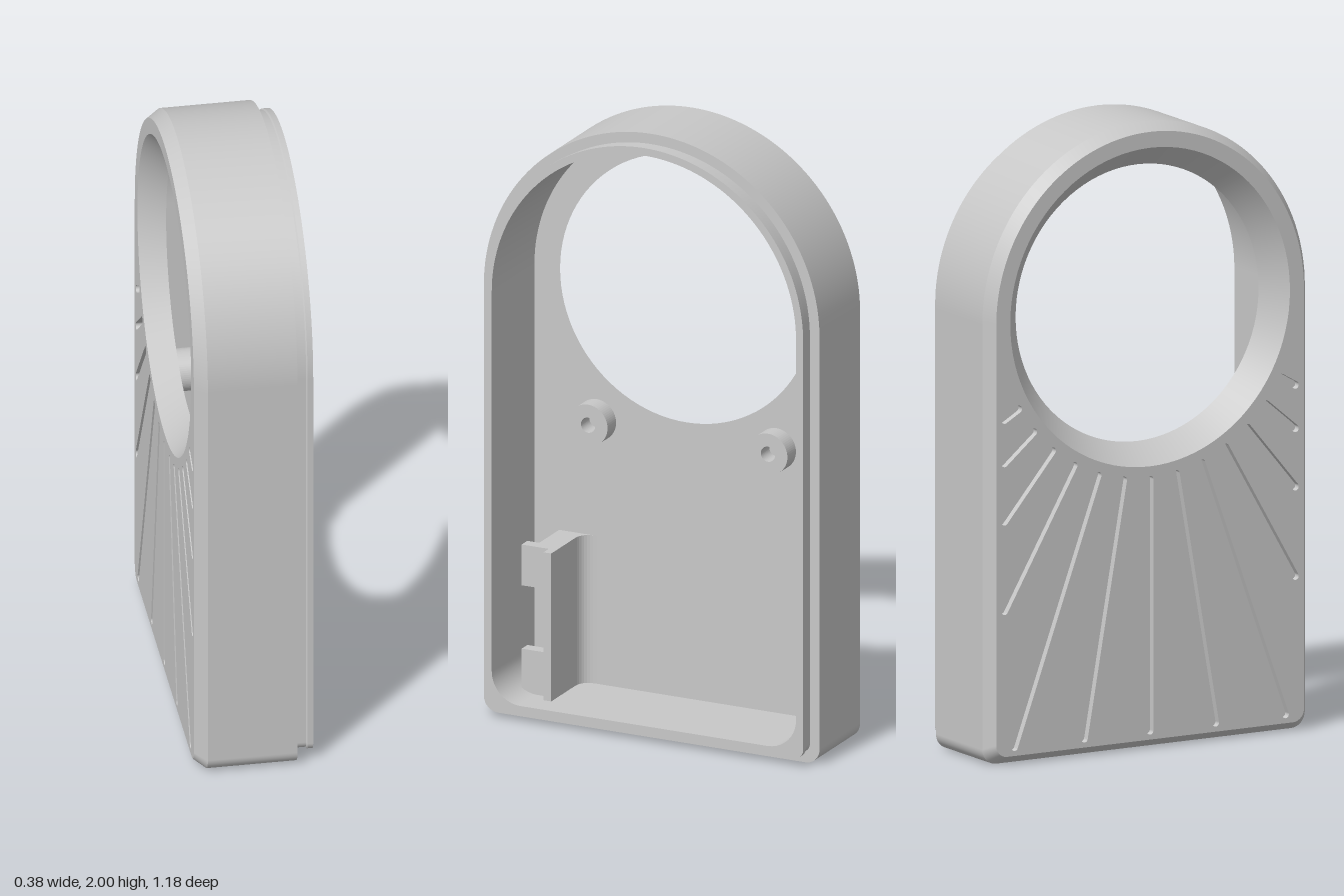
import * as THREE from 'three';

const HALF = 0.588;      // half width, also the arch radius
const ARCH_Y = 2 - HALF; // centre of the arch and of the round opening
const FACE_X = -0.19, FLOOR_X = -0.11, GROOVE = 0.022;
const FLARE_R = 0.51, BORE_R = 0.443;

// Arch outline as (z, y) points, starting at the bottom centre
function outline(inset, corner) {
  const w = HALF - inset, pts = [new THREE.Vector2(0, inset)];
  const arc = (cx, cy, r, a0, a1, n) => {
    for (let i = 0; i <= n; i++) {
      const a = a0 + (a1 - a0) * i / n;
      pts.push(new THREE.Vector2(cx + r * Math.cos(a), cy + r * Math.sin(a)));
    }
  };
  arc(w - corner, inset + corner, corner, -Math.PI / 2, 0, 10);
  arc(0, ARCH_Y, w, 0, Math.PI, 72);
  arc(-w + corner, inset + corner, corner, Math.PI, Math.PI * 1.5, 10);
  pts.push(pts[0].clone());
  return pts;
}

// Smooth band between two [x, inset, corner] sections
function band(a, b) {
  const pos = [], index = [];
  const pa = outline(a[1], a[2]), pb = outline(b[1], b[2]);
  pa.forEach((p, i) => {
    pos.push(a[0], p.y, p.x, b[0], pb[i].y, pb[i].x);
    if (i < pa.length - 1) {
      const k = i * 2;
      index.push(k, k + 1, k + 2, k + 2, k + 1, k + 3);
    }
  });
  const geo = new THREE.BufferGeometry();
  geo.setAttribute('position', new THREE.Float32BufferAttribute(pos, 3));
  geo.setIndex(index);
  geo.computeVertexNormals();
  return geo;
}

function archShape(inset, corner, holeR) {
  const shape = new THREE.Shape(outline(inset, corner).slice(0, -1));
  shape.holes.push(new THREE.Path().absarc(0, ARCH_Y, holeR, 0, Math.PI * 2, true));
  return shape;
}

// Round-ended radial slot at an angle from straight down
function slot(angle) {
  const s = Math.sin(angle), c = Math.cos(angle), r = 0.012;
  const r0 = 0.553;
  const r1 = Math.min((ARCH_Y - 0.055) / c, 0.53 / Math.max(Math.abs(s), 1e-6));
  const path = new THREE.Path();
  const dir = Math.atan2(-c, s);
  path.absarc(s * r1, ARCH_Y - c * r1, r, dir - Math.PI / 2, dir + Math.PI / 2, false);
  path.absarc(s * r0, ARCH_Y - c * r0, r, dir + Math.PI / 2, dir + Math.PI * 1.5, false);
  path.closePath();
  return path;
}

export function createModel() {
  const group = new THREE.Group();
  const grey = new THREE.MeshStandardMaterial({ color: 0xc8c8c8, side: THREE.DoubleSide });
  grey.name = 'plain grey';
  const add = (name, geo, parent = group) => {
    const mesh = new THREE.Mesh(geo, grey);
    mesh.name = name;
    parent.add(mesh);
    return mesh;
  };

  // Shell: chamfer, outer wall, stepped lip with bead, rim, inner wall
  const shell = new THREE.Group();
  shell.name = 'shell';
  group.add(shell);
  const sections = [
    [FACE_X, 0.027, 0.04], [-0.15, 0, 0.05], [0.135, 0, 0.05],
    [0.135, 0.034, 0.03], [0.168, 0.034, 0.03], [0.172, 0.03, 0.03],
    [0.19, 0.03, 0.03], [0.19, 0.055, 0.1], [FLOOR_X, 0.055, 0.1],
  ];
  for (let i = 0; i < sections.length - 1; i++)
    add('shellBand' + i, band(sections[i], sections[i + 1]), shell);

  // Face plate with a fan of grooves below the opening
  const face = archShape(0.027, 0.04, FLARE_R);
  for (let d = -60; d <= 60; d += 10) face.holes.push(slot(THREE.MathUtils.degToRad(d)));
  const faceGeo = new THREE.ExtrudeGeometry(face, { depth: GROOVE, bevelEnabled: false, curveSegments: 48 });
  add('groovedFace', faceGeo.rotateY(-Math.PI / 2).translate(FACE_X + GROOVE, 0, 0));
  const bedGeo = new THREE.ShapeGeometry(archShape(0.027, 0.04, FLARE_R), 48);
  add('grooveBed', bedGeo.rotateY(-Math.PI / 2).translate(FACE_X + GROOVE, 0, 0));

  // Inner floor
  const floorGeo = new THREE.ShapeGeometry(archShape(0.055, 0.1, BORE_R), 48);
  add('innerFloor', floorGeo.rotateY(Math.PI / 2).translate(FLOOR_X, 0, 0));

  // Conical wall of the round opening, with faces and normals towards the axis
  const flare = new THREE.CylinderGeometry(BORE_R, FLARE_R, FLOOR_X - FACE_X, 96, 1, true);
  flare.rotateZ(-Math.PI / 2).translate((FACE_X + FLOOR_X) / 2, ARCH_Y, 0);
  const idx = flare.index.array, normals = flare.attributes.normal.array;
  for (let i = 0; i < idx.length; i += 3) [idx[i], idx[i + 1]] = [idx[i + 1], idx[i]];
  for (let i = 0; i < normals.length; i++) normals[i] *= -1;
  add('openingFlare', flare);

  // Screw bosses
  for (const side of [-1, 1]) {
    const shape = new THREE.Shape().absarc(0, 0, 0.068, 0, Math.PI * 2, false);
    shape.holes.push(new THREE.Path().absarc(0, 0, 0.025, 0, Math.PI * 2, true));
    const geo = new THREE.ExtrudeGeometry(shape, { depth: 0.06, bevelEnabled: false, curveSegments: 32 });
    add(side > 0 ? 'frontBoss' : 'backBoss', geo.rotateY(Math.PI / 2)).position.set(FLOOR_X, 0.93, side * 0.315);
  }

  // Bracket: stepped rail with a fillet at its foot, and clips
  const bracket = new THREE.Group();
  bracket.name = 'bracket';
  group.add(bracket);
  const rail = new THREE.Shape();
  rail.moveTo(FLOOR_X, -0.446);
  rail.lineTo(0.03, -0.446);
  rail.lineTo(0.03, -0.393);
  rail.lineTo(0.107, -0.393);
  rail.lineTo(0.107, -0.366);
  rail.lineTo(-0.06, -0.366);
  rail.quadraticCurveTo(FLOOR_X, -0.366, FLOOR_X, -0.315);
  rail.closePath();
  const railGeo = new THREE.ExtrudeGeometry(rail, { depth: 0.49, bevelEnabled: false, curveSegments: 8 });
  add('rail', railGeo.rotateX(-Math.PI / 2).translate(0, 0.055, 0), bracket);
  const block = (name, sx, sy, sz, x, y, z) =>
    add(name, new THREE.BoxGeometry(sx, sy, sz), bracket).position.set(x, y, z);
  block('upperClip', 0.04, 0.135, 0.095, 0.05, 0.4775, 0.4405);
  block('lowerClip', 0.04, 0.145, 0.095, 0.05, 0.1275, 0.4405);
  block('middleTab', 0.03, 0.21, 0.021, -0.095, 0.305, 0.4565);

  return group;
}
